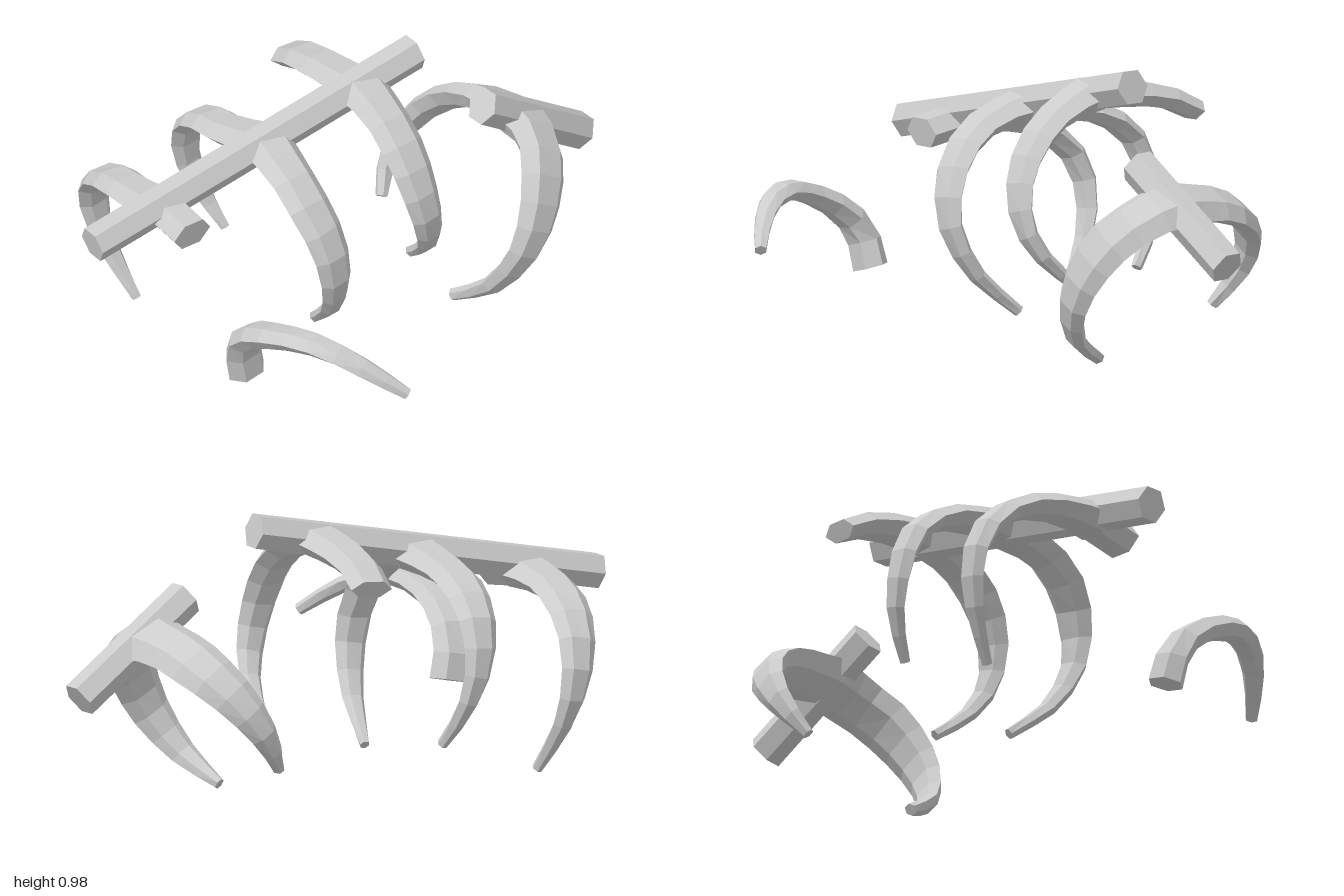
import * as THREE from 'three';

const bone = new THREE.MeshStandardMaterial({ color: 0xcccccc, flatShading: true });

// Sweeps a flattened polygon along a curve; size(u) gives [half width, half thickness]
function sweep(name, points, side, size, segments, sides = 6) {
  const curve = new THREE.CatmullRomCurve3(points.map(p => new THREE.Vector3(...p)));
  const axis = new THREE.Vector3(...side);
  const pos = [], index = [];
  for (let i = 0; i <= segments; i++) {
    const u = i / segments;
    const c = curve.getPointAt(u), t = curve.getTangentAt(u);
    const w = axis.clone().addScaledVector(t, -axis.dot(t)).normalize();
    const n = new THREE.Vector3().crossVectors(t, w);
    const [a, b] = size(u);
    for (let j = 0; j < sides; j++) {
      const ang = (j / sides) * Math.PI * 2;
      const p = c.clone().addScaledVector(w, a * Math.cos(ang)).addScaledVector(n, b * Math.sin(ang));
      pos.push(p.x, p.y, p.z);
    }
  }
  for (let i = 0; i < segments; i++) {
    for (let j = 0; j < sides; j++) {
      const k = (j + 1) % sides;
      const a = i * sides + j, b = i * sides + k, c = a + sides, d = b + sides;
      index.push(a, b, c, b, d, c);
    }
  }
  // End caps
  const last = segments * sides;
  for (let j = 1; j < sides - 1; j++) {
    index.push(0, j + 1, j, last, last + j, last + j + 1);
  }
  const geo = new THREE.BufferGeometry();
  geo.setAttribute('position', new THREE.Float32BufferAttribute(pos, 3));
  geo.setIndex(index);
  geo.computeVertexNormals();
  const mesh = new THREE.Mesh(geo, bone);
  mesh.name = name;
  return mesh;
}

// Whole rib: flared root, broad middle, pointed tip
const ribSize = (w, h) => u => {
  const taper = 1 - 0.8 * Math.pow(Math.max(0, (u - 0.3) / 0.7), 1.3);
  const flare = 1 + 0.2 * Math.max(0, 1 - u / 0.15);
  return [w * taper * flare, h * (1 - 0.6 * u) * flare];
};
const evenSize = (w, h) => () => [w, h];

export function createModel() {
  const model = new THREE.Group();
  const X = [1, 0, 0], Z = [0, 0, 1];

  // Long spine section and broken-off rear section
  model.add(
    sweep('spine', [[-0.27, 0.635, 0.99], [-0.19, 0.92, -0.33]], X, evenSize(0.062, 0.064), 1),
    sweep('rearSpine', [[-0.06, 0.69, -0.52], [-0.09, 0.395, -0.965]], X, evenSize(0.062, 0.066), 1),
  );

  // Complete ribs on the long spine
  const ribs = {
    frontRightRib: [[-0.25, 0.67, 0.7], [-0.42, 0.66, 0.7], [-0.58, 0.62, 0.67], [-0.69, 0.54, 0.64],
      [-0.74, 0.41, 0.61], [-0.71, 0.25, 0.58], [-0.6, 0.07, 0.54]],
    middleRightRib: [[-0.23, 0.78, 0.28], [-0.4, 0.75, 0.3], [-0.56, 0.71, 0.28], [-0.67, 0.62, 0.26],
      [-0.71, 0.49, 0.24], [-0.69, 0.34, 0.2], [-0.6, 0.2, 0.16]],
    middleLeftRib: [[-0.23, 0.78, 0.28], [-0.07, 0.74, 0.3], [0.04, 0.66, 0.3], [0.11, 0.55, 0.28],
      [0.13, 0.42, 0.26], [0.06, 0.25, 0.22], [-0.1, 0.1, 0.17]],
    backLeftRib: [[-0.2, 0.87, -0.1], [-0.06, 0.82, -0.1], [0.05, 0.73, -0.1], [0.12, 0.6, -0.11],
      [0.13, 0.46, -0.14], [0.07, 0.34, -0.18], [-0.06, 0.23, -0.21]],
  };
  for (const [name, path] of Object.entries(ribs)) {
    model.add(sweep(name, path, Z, ribSize(0.083, 0.05), 10));
  }

  // Snapped stumps
  model.add(
    sweep('frontLeftStump', [[-0.25, 0.67, 0.695], [-0.1, 0.645, 0.695]], Z, evenSize(0.077, 0.057), 1),
    sweep('backRightStump', [[-0.2, 0.87, -0.1], [-0.36, 0.855, -0.1], [-0.5, 0.83, -0.11], [-0.615, 0.775, -0.13]],
      Z, u => [0.09 - 0.015 * u, 0.055 - 0.017 * u], 4),
  );

  // Ribs of the rear section, sloping with its spine
  const slope = [0, 0.45, 0.9];
  model.add(
    sweep('rearRightRib', [[-0.08, 0.57, -0.69], [-0.25, 0.56, -0.68], [-0.39, 0.51, -0.65], [-0.48, 0.43, -0.59],
      [-0.52, 0.33, -0.52], [-0.51, 0.24, -0.46], [-0.47, 0.16, -0.41]], slope, ribSize(0.1, 0.055), 9),
    sweep('rearLeftRib', [[-0.08, 0.57, -0.69], [0.04, 0.54, -0.68], [0.14, 0.46, -0.62], [0.19, 0.36, -0.56],
      [0.2, 0.25, -0.5], [0.13, 0.11, -0.42], [-0.02, 0.015, -0.36]], slope, ribSize(0.1, 0.055), 10),
  );

  // Loose rib lying beside the cage
  model.add(sweep('looseRib', [[0.15, 0.215, 0.66], [0.17, 0.34, 0.69], [0.26, 0.43, 0.71], [0.38, 0.485, 0.71],
    [0.5, 0.51, 0.675], [0.61, 0.49, 0.62], [0.7, 0.435, 0.55], [0.78, 0.36, 0.465]],
    Z, u => [0.072 - 0.05 * u * u, 0.055 - 0.035 * u], 10));

  return model;
}
